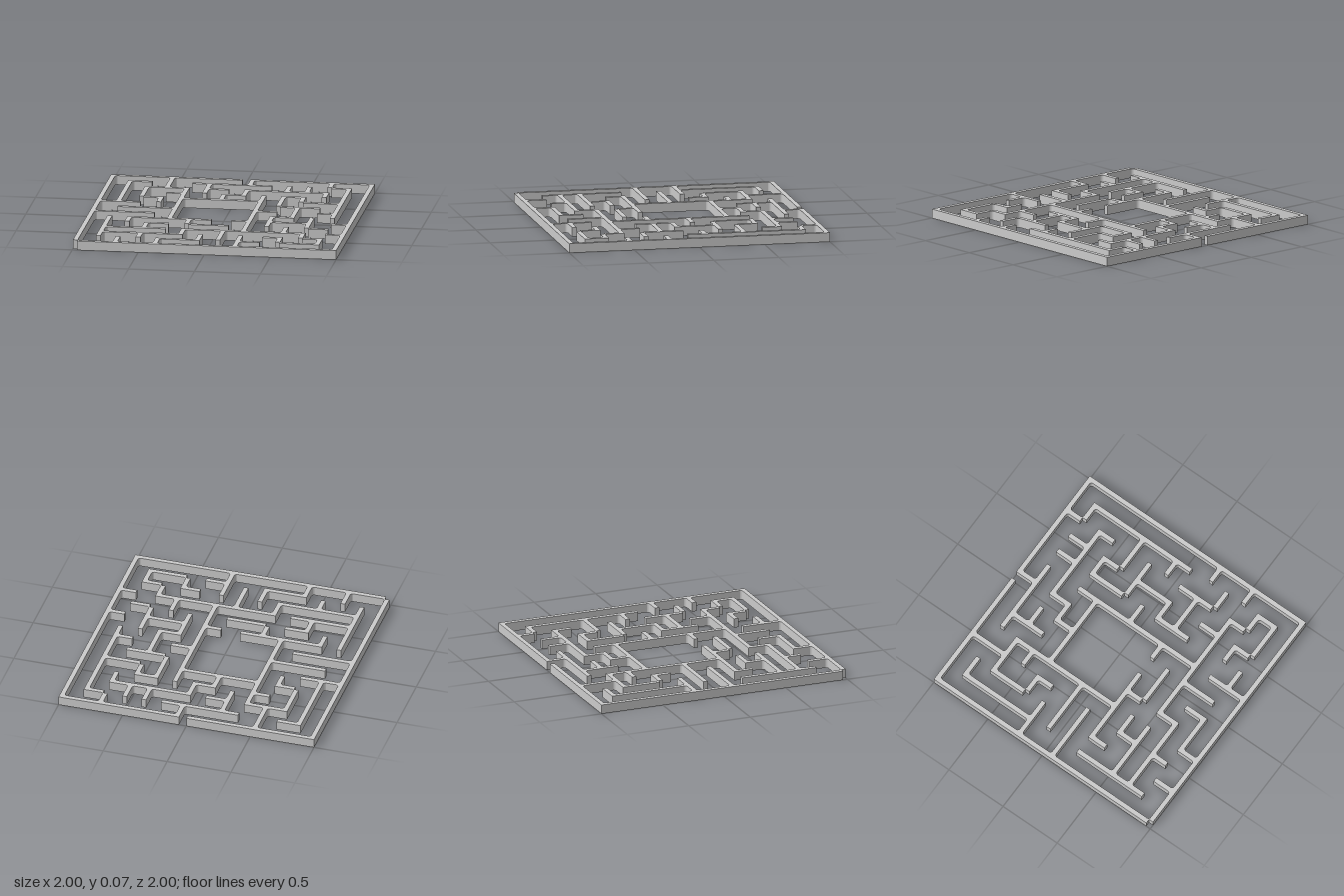
import * as THREE from 'three';

const H = 0.07;                 // wall height
const HALF = 0.018;             // half wall thickness
const PITCH = (2 - 2 * HALF) / 13;
const FILLET = 0.016;
const at = (i) => -1 + HALF + i * PITCH;

// walls along x, one entry per grid row: [from column, to column]
const rows = [
  [[0, 6.38], [7, 13]],
  [[1, 2], [4, 8], [11, 12]],
  [[2, 4], [5, 6], [7, 11]],
  [[3, 4], [6, 7], [9, 10]],
  [[2, 3], [4, 8], [10, 12]],
  [[0, 2], [9, 11]],
  [[1, 4], [8, 9], [11, 12]],
  [[0, 3], [9, 10]],
  [[2, 6], [7, 8], [9, 11], [12, 13]],
  [[3, 4], [5, 7], [11, 12]],
  [[1, 4], [5, 11], [12, 13]],
  [[1, 5], [9, 10], [11, 12]],
  [[4, 6], [8, 9], [10, 12]],
  [[0, 13]],
];

// walls along z, one entry per grid column: [from row, to row]
const columns = [
  [[0, 13]],
  [[1, 5], [8, 12]],
  [[2, 4], [8, 9], [12, 13]],
  [[0, 2], [4, 5], [9, 10], [11, 12]],
  [[2, 8], [12, 13]],
  [[1, 3], [8, 9], [10, 11]],
  [[3, 4], [11, 12]],
  [[0, 1], [2, 3], [10, 12]],
  [[3, 10], [11, 13]],
  [[1, 2], [3, 5], [7, 9]],
  [[1, 2], [3, 4], [5, 7], [9, 10], [11, 12]],
  [[0, 1], [2, 3], [7, 9], [10, 11]],
  [[1, 7], [11, 12]],
  [[0, 13]],
];

// concave corner filler, opening towards (sx, sz)
function filletGeometry(sx, sz) {
  const s = new THREE.Shape();
  s.moveTo(0, 0);
  s.lineTo(sx * FILLET, 0);
  s.quadraticCurveTo(sx * FILLET * 0.25, -sz * FILLET * 0.25, 0, -sz * FILLET);
  s.closePath();
  const g = new THREE.ExtrudeGeometry(s, { depth: H, bevelEnabled: false, curveSegments: 3 });
  return g.rotateX(-Math.PI / 2);
}

export function createModel() {
  const model = new THREE.Group();
  model.name = 'maze';
  const mat = new THREE.MeshStandardMaterial({ color: 0xcccccc });
  const arms = new Set();

  const addWall = (name, x0, x1, z0, z1) => {
    const m = new THREE.Mesh(new THREE.BoxGeometry(x1 - x0, H, z1 - z0), mat);
    m.position.set((x0 + x1) / 2, H / 2, (z0 + z1) / 2);
    m.name = name;
    model.add(m);
  };

  // cross walls own their right end, long walls own their back end
  rows.forEach((list, j) => list.forEach(([a, b]) => {
    addWall('crossWall', at(a) + HALF, at(b) + HALF, at(j) - HALF, at(j) + HALF);
    for (let i = a; i < Math.floor(b); i++) arms.add(`${i},${j},x1`).add(`${i + 1},${j},x-1`);
  }));
  columns.forEach((list, i) => list.forEach(([a, b]) => {
    addWall('longWall', at(i) - HALF, at(i) + HALF, at(a) - HALF, at(b) - HALF);
    for (let j = a; j < b; j++) arms.add(`${i},${j},z1`).add(`${i},${j + 1},z-1`);
  }));

  // fillets wherever two walls meet at a right angle
  for (const sx of [-1, 1]) for (const sz of [-1, 1]) {
    const geo = filletGeometry(sx, sz);
    for (let i = 0; i <= 13; i++) for (let j = 0; j <= 13; j++) {
      if (!arms.has(`${i},${j},x${sx}`) || !arms.has(`${i},${j},z${sz}`)) continue;
      const m = new THREE.Mesh(geo, mat);
      m.position.set(at(i) + sx * HALF, 0, at(j) + sz * HALF);
      m.name = 'cornerFillet';
      model.add(m);
    }
  }
  return model;
}
